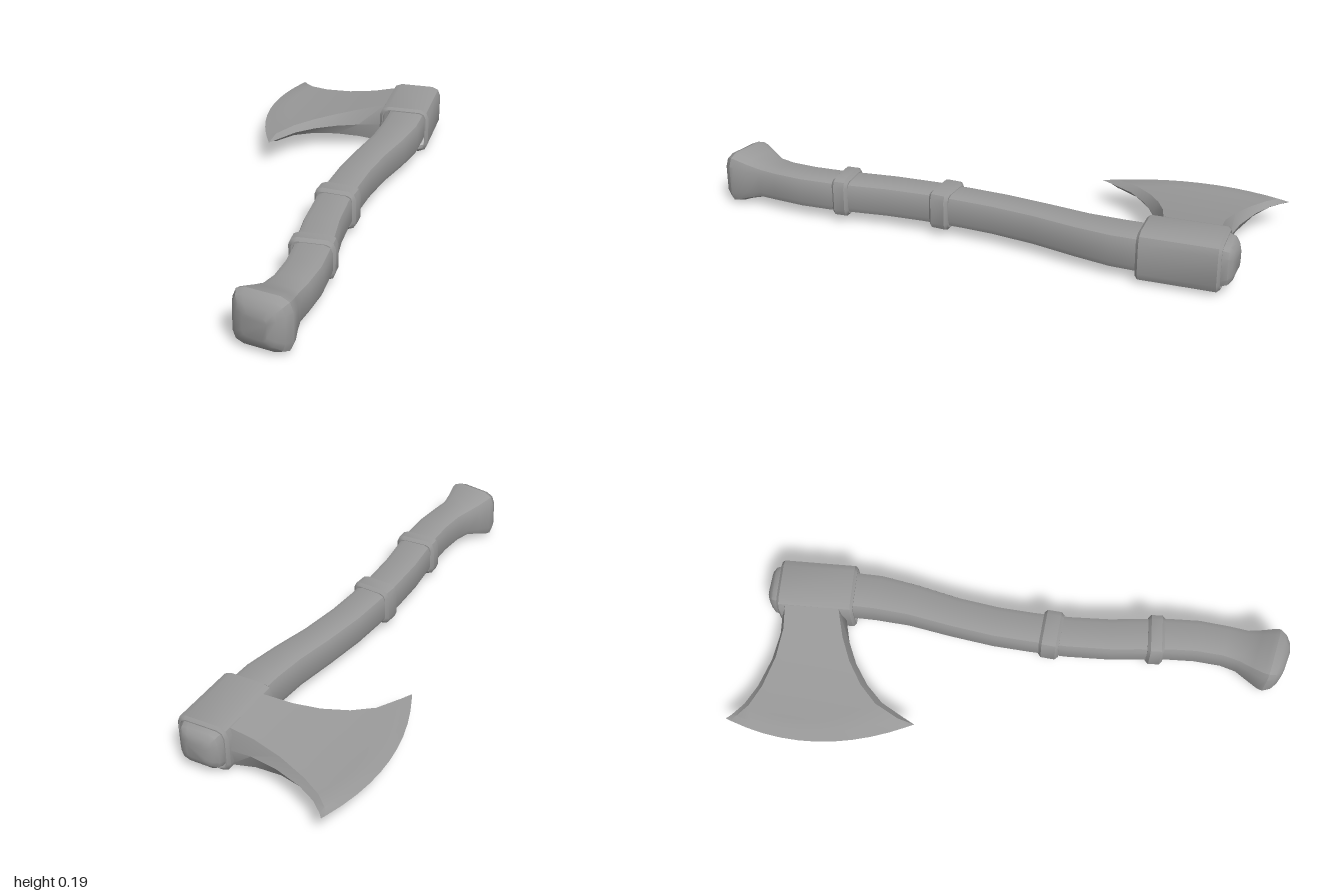
import * as THREE from 'three';
import { toCreasedNormals } from 'three/addons/utils/BufferGeometryUtils.js';

const MID = 0.097; // height of the plane the axe is symmetric about
const material = new THREE.MeshStandardMaterial({ color: 0x999999 });

// Skins a row of closed rings, each a list of [x, y, z]
function loft(rings, capped) {
  const n = rings[0].length;
  const points = rings.flat();
  const index = [];
  for (let i = 0; i < rings.length - 1; i++) {
    for (let j = 0; j < n; j++) {
      const k = (j + 1) % n;
      const a = i * n + j, b = i * n + k;
      index.push(a, b, a + n, b, b + n, a + n);
    }
  }
  if (capped) {
    const last = (rings.length - 1) * n;
    for (let j = 1; j < n - 1; j++) {
      index.push(0, j + 1, j);
      index.push(last, last + j, last + j + 1);
    }
  }
  const geometry = new THREE.BufferGeometry();
  geometry.setAttribute('position', new THREE.Float32BufferAttribute(points.flat(), 3));
  geometry.setIndex(index);
  return toCreasedNormals(geometry, 0.6);
}

// Rounded rectangle across the direction (tx, tz), centred on (x, z)
function section(x, z, tx, tz, halfWidth, halfHeight, radius) {
  const ring = [];
  const corners = [[1, 1], [-1, 1], [-1, -1], [1, -1]];
  corners.forEach(([sx, sy], q) => {
    for (let k = 0; k < 3; k++) {
      const angle = (q + k / 2) * Math.PI / 2;
      const s = sx * (halfWidth - radius) + radius * Math.cos(angle);
      const y = sy * (halfHeight - radius) + radius * Math.sin(angle);
      ring.push([x + tz * s, MID + y, z - tx * s]);
    }
  });
  return ring;
}

// Shaft from the domed top to the flared pommel: x, z, half width, half height
function handleGeometry() {
  const stations = [
    [0.224, -0.939, 0.038, 0.032],
    [0.224, -0.932, 0.058, 0.052],
    [0.225, -0.918, 0.074, 0.068],
    [0.226, -0.895, 0.081, 0.075],
    [0.245, -0.62, 0.075, 0.067],
    [0.247, -0.53, 0.075, 0.066],
    [0.236, -0.4, 0.069, 0.063],
    [0.211, -0.24, 0.065, 0.061],
    [0.195, -0.08, 0.065, 0.06],
    [0.192, 0.05, 0.065, 0.06],
    [0.193, 0.185, 0.066, 0.06],
    [0.205, 0.34, 0.067, 0.06],
    [0.222, 0.45, 0.068, 0.06],
    [0.237, 0.555, 0.068, 0.06],
    [0.245, 0.66, 0.068, 0.06],
    [0.24, 0.765, 0.067, 0.06],
    [0.229, 0.83, 0.071, 0.062],
    [0.219, 0.88, 0.088, 0.077],
    [0.212, 0.922, 0.103, 0.093],
    [0.209, 0.94, 0.105, 0.097],
    [0.205, 0.966, 0.092, 0.085],
    [0.202, 0.984, 0.07, 0.064],
    [0.2, 0.993, 0.045, 0.04],
  ];
  const rings = stations.map(([x, z, w, h], i) => {
    const a = stations[Math.max(i - 1, 0)];
    const b = stations[Math.min(i + 1, stations.length - 1)];
    const length = Math.hypot(b[0] - a[0], b[1] - a[1]);
    return section(x, z, (b[0] - a[0]) / length, (b[1] - a[1]) / length, w, h, Math.min(w, h) * 0.45);
  });
  return loft(rings, true);
}

// Bevelled sleeve with recessed ends, lying along the handle at a tilt
function collarGeometry(x, z, tilt, halfLength, halfWidth, halfHeight, wall, bevel) {
  const tx = Math.sin(tilt), tz = Math.cos(tilt);
  const L = halfLength;
  const profile = [
    [-L + 0.03, wall], [-L, wall], [-L, bevel], [-L + bevel, 0],
    [L - bevel, 0], [L, bevel], [L, wall], [L - 0.03, wall],
  ];
  const radius = halfHeight * 0.4;
  return loft(profile.map(([t, inset]) => section(
    x + tx * t, z + tz * t, tx, tz, halfWidth - inset, halfHeight - inset, radius - inset * 0.8)), false);
}

// Blade cross-sections from the socket out to the cutting edge:
// back x, z, front x, z, middle x
function bladeGeometry() {
  const stations = [
    [0.15, -0.88, 0.15, -0.64, 0.15],
    [0.055, -0.87, 0.055, -0.61, 0.05],
    [-0.05, -0.88, -0.025, -0.57, -0.06],
    [-0.16, -0.91, -0.1, -0.515, -0.175],
    [-0.235, -0.945, -0.16, -0.45, -0.265],
    [-0.283, -0.982, -0.206, -0.36, -0.308],
    [-0.3, -1, -0.225, -0.32, -0.34],
  ];
  // Half thickness swells from the edge towards the socket
  const thickness = (x) => 0.011 + 0.057 * Math.max(0, (x + 0.3) / 0.4) ** 1.5;
  const steps = 10;
  const rings = stations.map(([ax, az, bx, bz, mx], i) => {
    const bulge = mx - (ax + bx) / 2;
    const inset = 0.02 / (bz - az);
    const side = i < stations.length - 1 ? 1 : 0;
    const at = (v, sign) => {
      const x = ax + (bx - ax) * v + bulge * 4 * v * (1 - v);
      return [x, MID + sign * side * thickness(x), az + (bz - az) * v];
    };
    const inner = [];
    for (let k = 0; k <= steps; k++) inner.push(inset + (1 - 2 * inset) * k / steps);
    return [
      at(1, 0), ...inner.slice().reverse().map((v) => at(v, 1)),
      at(0, 0), ...inner.map((v) => at(v, -1)),
    ];
  });
  return loft(rings, true);
}

export function createModel() {
  const group = new THREE.Group();
  const add = (name, geometry) => {
    const mesh = new THREE.Mesh(geometry, material);
    mesh.name = name;
    group.add(mesh);
  };
  add('handle', handleGeometry());
  add('blade', bladeGeometry());
  add('headSocket', collarGeometry(0.234, -0.757, 0.055, 0.142, 0.099, 0.089, 0.014, 0.01));
  add('upperGripBand', collarGeometry(0.193, 0.125, -0.04, 0.037, 0.078, 0.073, 0.02, 0.011));
  add('lowerGripBand', collarGeometry(0.228, 0.508, 0.08, 0.031, 0.08, 0.073, 0.02, 0.011));
  return group;
}
